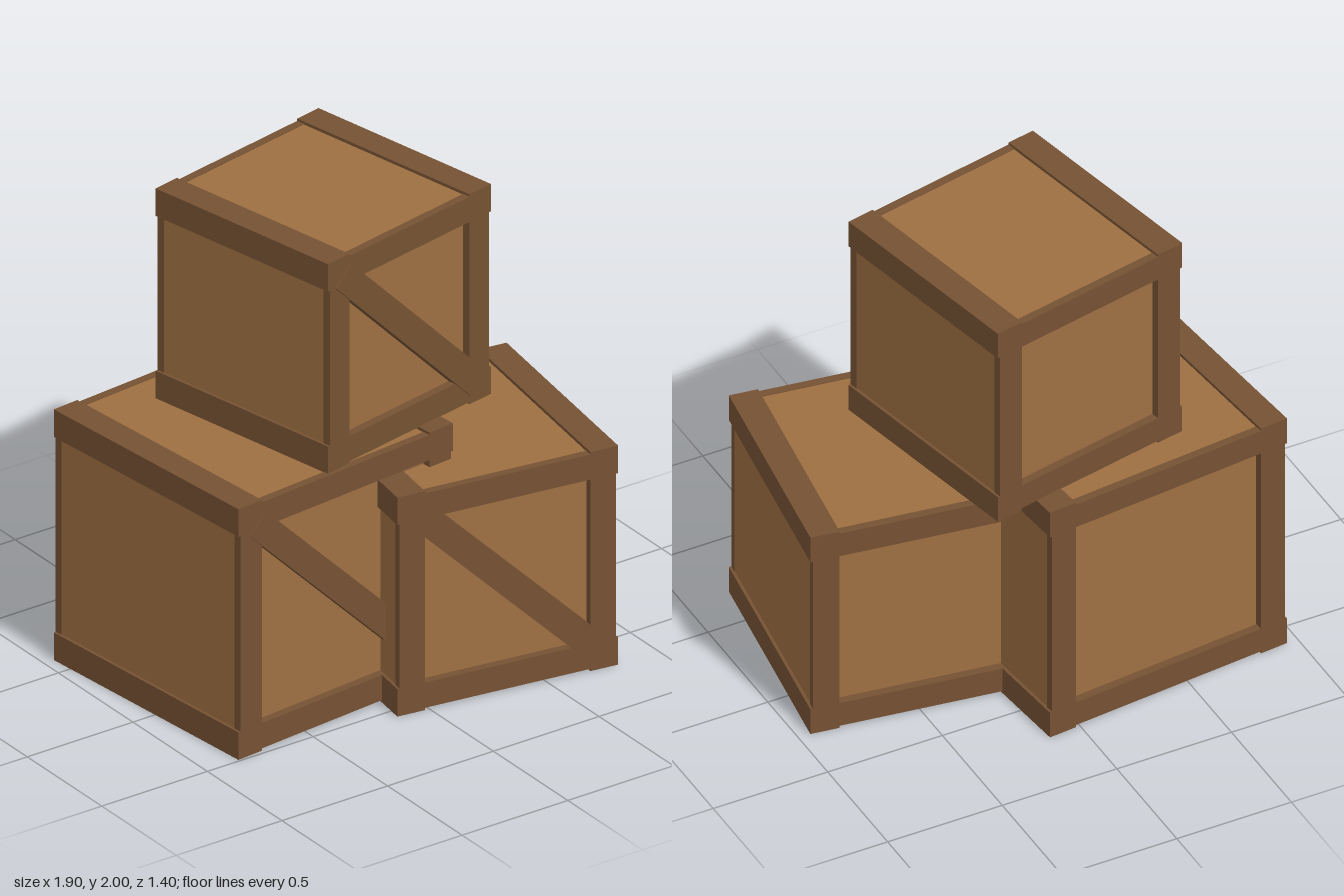
import * as THREE from 'three';

const BEAM = 0.12;    // beam width
const LIP = 0.01;     // how far the long edge beams stand proud
const RECESS = 0.035; // depth of the front and back framing

const panelMat = new THREE.MeshStandardMaterial({ color: 0x9e6f42 });
const frameMat = new THREE.MeshStandardMaterial({ color: 0x765233 });

function box(parent, name, mat, size, pos) {
  const mesh = new THREE.Mesh(new THREE.BoxGeometry(...size), mat);
  mesh.name = name;
  mesh.position.set(...pos);
  parent.add(mesh);
  return mesh;
}

// Cubic crate of side s, centred on its own origin
function makeCrate(name, s) {
  const crate = new THREE.Group();
  crate.name = name;
  const h = s / 2;
  const inner = s - 2 * BEAM;

  // Planked body, set slightly inside the framing
  const body = s - 2 * LIP - 0.006;
  box(crate, 'body', panelMat, [body, body, s - 2 * RECESS], [0, 0, 0]);

  // Four long beams running front to back along the corners
  const c = h - BEAM / 2;
  for (const x of [-c, c]) {
    for (const y of [-c, c]) box(crate, 'edgeBeam', frameMat, [BEAM, BEAM, s], [x, y, 0]);
  }

  // Front and back frames between the corner beams
  const w = BEAM - LIP;
  const p = h - LIP - w / 2;
  for (const z of [-(h - RECESS / 2), h - RECESS / 2]) {
    for (const side of [-1, 1]) {
      box(crate, 'post', frameMat, [w, inner, RECESS], [side * p, 0, z]);
      box(crate, 'rail', frameMat, [inner, w, RECESS], [0, side * p, z]);
    }
  }

  // Diagonal brace on the front
  const t = RECESS + LIP;
  const brace = box(crate, 'diagonalBrace', frameMat, [s * 1.17, 0.115, t], [0, 0, h + LIP - t / 2]);
  brace.rotation.z = -Math.PI / 4;
  return crate;
}

export function createModel() {
  const stack = new THREE.Group();
  stack.name = 'crateStack';
  // name, side, x, base y, z, turn
  const crates = [
    ['largeCrate', 1.095, -0.355, 0, -0.106, 0.097],
    ['mediumCrate', 0.957, 0.405, 0, 0.148, -0.146],
    ['topCrate', 0.917, -0.024, 1.083, -0.107, 0.2],
  ];
  for (const [name, s, x, y, z, turn] of crates) {
    const crate = makeCrate(name, s);
    crate.position.set(x, y + s / 2, z);
    crate.rotation.y = turn;
    stack.add(crate);
  }
  return stack;
}
